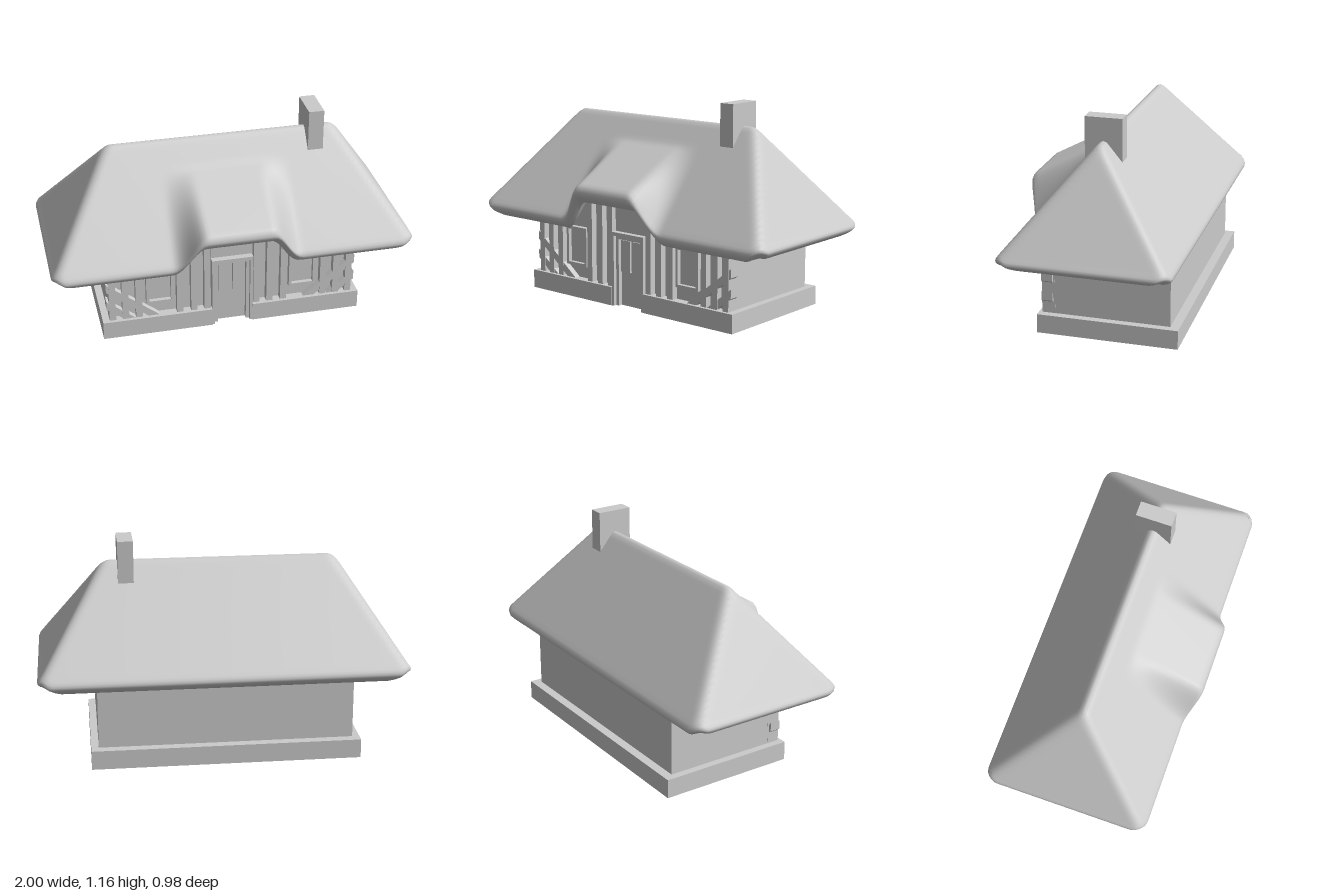
import * as THREE from 'three';
import { mergeVertices } from 'three/addons/utils/BufferGeometryUtils.js';

const grey = new THREE.MeshStandardMaterial({ color: 0xcccccc });
const greyBoth = new THREE.MeshStandardMaterial({ color: 0xcccccc, side: THREE.DoubleSide });

const lerp = THREE.MathUtils.lerp;
const smin = (a, b, k) => {
  const h = Math.max(k - Math.abs(a - b), 0) / k;
  return Math.min(a, b) - h * h * k / 4;
};

// How strongly the thatch is lifted over the door at x
const lift = x => 1 - THREE.MathUtils.smoothstep(Math.abs(x), 0.18, 0.35);

// Hipped roof height with the raised dormer blended in at the front
function roofTop(x, z) {
  const front = 0.49 + 1.22 * (0.43 - z), back = 0.49 + 1.22 * (z + 0.49);
  const end = 0.49 + 1.5 * (1 - Math.abs(x));
  const h = smin(smin(front, back, 0.06), end, 0.06);
  const dormer = z > -0.03 ? 0.69 + 0.54 * (0.49 - z) : 0;
  return h + Math.max(dormer - h, 0) * lift(x);
}
// The thatch is a thick shell, hollow underneath
const roofUnder = (x, z) => roofTop(x, z) - 0.125;

// Plan position on a rounded rectangle, pushed forward at the dormer
function plan(u, v, inset) {
  const c = 0.08, hz = 0.46;
  let x = Math.abs(u), z = Math.abs(v) * hz;
  const a = Math.max(x - 1 + c, 0) / c, b = Math.max(z - hz + c, 0) / c;
  if (a > 0 && b > 0) {
    x = 1 - c + c * a * Math.sqrt(1 - b * b / 2);
    z = hz - c + c * b * Math.sqrt(1 - a * a / 2);
  }
  x *= Math.sign(u) * (1 - inset);
  z = z * Math.sign(v) * (1 - inset / hz) - 0.03;
  return [x, z + 0.06 * lift(x) * Math.max(z / 0.43, 0) ** 2];
}

function roofGeometry() {
  const nx = 100, nz = 50, rim = 6, pos = [], idx = [];
  const topPoint = (u, v) => {
    const [x, z] = plan(u, v, 0.012);
    return [x, roofTop(x, z), z];
  };
  const bottomPoint = (u, v) => {
    const [x, z] = plan(u, v, 0.05);
    return [x, roofUnder(x, z), z];
  };
  const sheet = (point, flip) => {
    const start = pos.length / 3;
    for (let j = 0; j <= nz; j++)
      for (let i = 0; i <= nx; i++) pos.push(...point(i / nx * 2 - 1, j / nz * 2 - 1));
    for (let j = 0; j < nz; j++)
      for (let i = 0; i < nx; i++) {
        const a = start + j * (nx + 1) + i, b = a + 1, c = a + nx + 1, d = c + 1;
        idx.push(...(flip ? [a, b, c, b, d, c] : [a, c, b, b, c, d]));
      }
  };
  sheet(topPoint, false);
  sheet(bottomPoint, true);

  // Rounded rim around the eaves
  const loop = [];
  for (let i = 0; i < nx; i++) loop.push([i / nx * 2 - 1, 1]);
  for (let j = nz; j > 0; j--) loop.push([1, j / nz * 2 - 1]);
  for (let i = nx; i > 0; i--) loop.push([i / nx * 2 - 1, -1]);
  for (let j = 0; j < nz; j++) loop.push([-1, j / nz * 2 - 1]);
  const start = pos.length / 3, n = loop.length;
  for (let r = 0; r <= rim; r++) {
    const t = r / rim;
    for (const [u, v] of loop) {
      const inset = 0.012 + 0.038 * t - 0.03 * Math.sin(Math.PI * t);
      const [x, z] = plan(u, v, inset);
      pos.push(x, lerp(topPoint(u, v)[1], bottomPoint(u, v)[1], t), z);
    }
  }
  for (let r = 0; r < rim; r++)
    for (let i = 0; i < n; i++) {
      const k = (i + 1) % n, up = start + r * n, low = up + n;
      idx.push(low + i, low + k, up + k, low + i, up + k, up + i);
    }
  let g = new THREE.BufferGeometry();
  g.setAttribute('position', new THREE.Float32BufferAttribute(pos, 3));
  g.setIndex(idx);
  g = mergeVertices(g, 1e-5);
  g.computeVertexNormals();
  return g;
}

// Upright band along a path of [x, z] points, facing right of travel
function skirt(points, y0, y1) {
  const pos = [];
  for (let i = 0; i + 1 < points.length; i++) {
    const [ax, az] = points[i], [bx, bz] = points[i + 1];
    pos.push(ax, y0, az, bx, y0, bz, bx, y1, bz, ax, y0, az, bx, y1, bz, ax, y1, az);
  }
  const g = new THREE.BufferGeometry();
  g.setAttribute('position', new THREE.Float32BufferAttribute(pos, 3));
  g.computeVertexNormals();
  return g;
}

export function createModel() {
  const group = new THREE.Group();
  const add = (name, geometry, material = grey) => {
    const m = new THREE.Mesh(geometry, material);
    m.name = name;
    group.add(m);
    return m;
  };
  const box = (name, x0, x1, y0, y1, z0, z1) => {
    const m = add(name, new THREE.BoxGeometry(x1 - x0, y1 - y0, z1 - z0));
    m.position.set((x0 + x1) / 2, (y0 + y1) / 2, (z0 + z1) / 2);
  };
  const polygon = pts => new THREE.Shape(pts.map(p => new THREE.Vector2(...p)));

  add('thatchedRoof', roofGeometry());
  box('chimney', 0.47, 0.555, 0.92, 1.16, -0.13, 0.07);

  // Plinth, open underneath, with a gap for the door
  const W = 0.73, F = 0.29, B = -0.475, D = 0.115, wx = 0.69, wf = 0.235, wb = -0.425;
  add('plinthSides',
    skirt([[D, wf], [D, F], [W, F], [W, B], [-W, B], [-W, F], [-D, F], [-D, wf]], 0, 0.105), greyBoth);
  const lip = polygon([[-W, -F], [-D, -F], [-D, -wf], [D, -wf], [D, -F], [W, -F], [W, -B], [-W, -B]]);
  lip.holes.push(polygon([[-wx, -wf + 0.001], [wx, -wf + 0.001], [wx, -wb], [-wx, -wb]]));
  add('plinthTop', new THREE.ShapeGeometry(lip).rotateX(-Math.PI / 2).translate(0, 0.105, 0), greyBoth);

  // Walls rise into the hollow roof; the sides end in gables
  add('backWall', skirt([[wx, wb], [-wx, wb]], 0.1, 0.51), greyBoth);
  const gable = polygon([[-wf, 0.1], [-wb, 0.1], [-wb, 0.51], [0.11, 0.86], [-0.05, 0.86], [-wf, 0.64]]);
  for (const s of [-1, 1])
    add('sideWall', new THREE.ShapeGeometry(gable).rotateY(Math.PI / 2).translate(s * wx, 0, 0), greyBoth);
  const face = polygon([[-wx, 0.1], [-D, 0.1], [-D, 0.4], [D, 0.4], [D, 0.1], [wx, 0.1], [wx, 0.64],
    [0.3, 0.64], [0.2, 0.76], [-0.2, 0.76], [-0.3, 0.64], [-wx, 0.64]]);
  add('frontWall', new THREE.ShapeGeometry(face).translate(0, 0, wf), greyBoth);

  // Door, stepped frame and panel above
  box('door', -0.085, 0.085, 0, 0.385, 0.21, 0.24);
  for (const s of [-1, 1]) {
    box('doorFrame', s * 0.108 - 0.008, s * 0.108 + 0.008, 0, 0.42, 0.2, 0.285);
    box('doorInnerFrame', s * 0.091 - 0.01, s * 0.091 + 0.01, 0, 0.4, 0.205, 0.265);
    box('doorPane', s * 0.04 - 0.033, s * 0.04 + 0.033, 0.195, 0.375, 0.22, 0.255);
  }
  box('doorLintel', -0.115, 0.115, 0.4, 0.42, 0.2, 0.285);
  box('doorInnerLintel', -0.1, 0.1, 0.38, 0.4, 0.205, 0.265);
  box('panelAboveDoor', -0.115, 0.115, 0.42, 0.7, 0.22, 0.25);

  for (const s of [-1, 1]) {
    // Upright timbers through the wall
    for (const x of [0.14, 0.215, 0.295, 0.525, 0.6, 0.673])
      box('timberPost', s * x - 0.018, s * x + 0.018, 0.1, roofTop(x, 0.27) - 0.08, 0.2, 0.272);

    // Window with frame
    const wc = s * 0.405;
    box('windowPane', wc - 0.065, wc + 0.065, 0.19, 0.39, 0.22, 0.242);
    for (const e of [-1, 1]) {
      const fx = wc + e * 0.069, fy = 0.29 + e * 0.104;
      box('windowFrameSide', fx - 0.008, fx + 0.008, 0.178, 0.402, 0.21, 0.265);
      box('windowFrameRail', wc - 0.077, wc + 0.077, fy - 0.008, fy + 0.008, 0.21, 0.265);
    }

    // Slanted corner braces, cut upright at the corner and level at the plinth
    for (const y of [0.205, 0.315]) {
      const foot = h => s * (0.705 - (h - 0.105) / 0.8);
      const brace = polygon([[s * 0.705, y - 0.025], [s * 0.705, y + 0.025],
        [foot(y + 0.025), 0.105], [foot(y - 0.025), 0.105]]);
      add('cornerBrace', new THREE.ExtrudeGeometry(brace, { depth: 0.06, bevelEnabled: false })
        .translate(0, 0, 0.21));
    }
  }
  return group;
}
